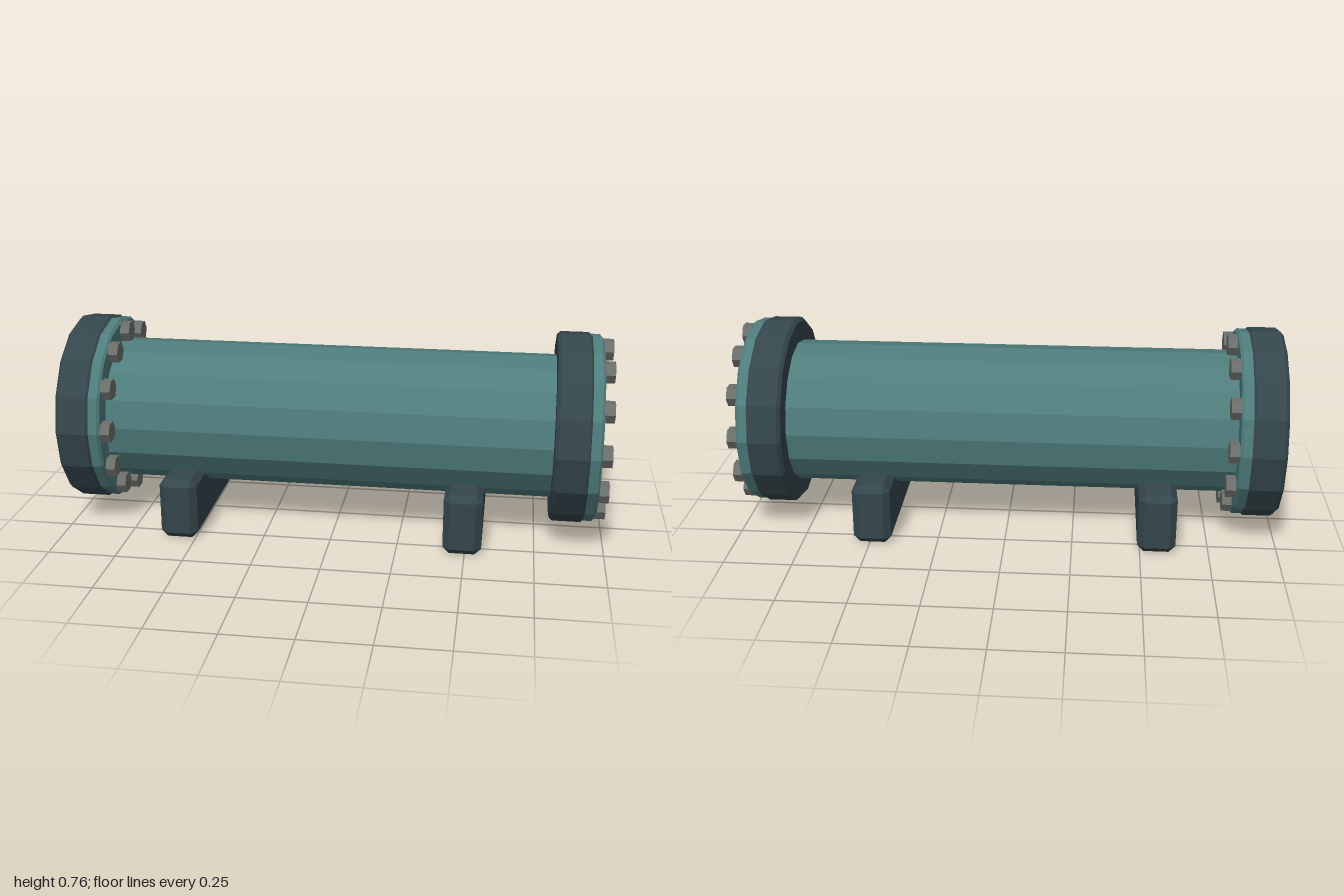
import * as THREE from 'three';
import { ConvexGeometry } from 'three/addons/geometries/ConvexGeometry.js';

const AXIS_Y = 0.405; // height of the barrel's centre line
const SIDES = 16;

const material = (color) => new THREE.MeshStandardMaterial({ color, flatShading: true });

function addMesh(parent, name, geometry, mat) {
  const mesh = new THREE.Mesh(geometry, mat);
  mesh.name = name;
  parent.add(mesh);
  return mesh;
}

// Solid disc along x, starting at x0, with chamfered rims
function chamferedDisc(x0, thickness, radius, chamfer) {
  const profile = [
    [0, 0], [radius - chamfer, 0], [radius, chamfer],
    [radius, thickness - chamfer], [radius - chamfer, thickness], [0, thickness],
  ].map(([r, h]) => new THREE.Vector2(r, h));
  return new THREE.LatheGeometry(profile, SIDES).rotateZ(-Math.PI / 2).translate(x0, 0, 0);
}

// Box with every edge chamfered, standing on y = 0
function chamferedBox(w, h, d, c) {
  const points = [];
  for (const sx of [-1, 1]) for (const sy of [-1, 1]) for (const sz of [-1, 1]) {
    for (const [a, b, e] of [[0, c, c], [c, 0, c], [c, c, 0]]) {
      points.push(new THREE.Vector3(sx * (w / 2 - a), sy * (h / 2 - b), sz * (d / 2 - e)));
    }
  }
  return new ConvexGeometry(points).translate(0, h / 2, 0);
}

export function createModel() {
  const teal = material(0x4f7c7c);
  const dark = material(0x34464c);
  const steel = material(0x6c706d);

  const model = new THREE.Group();
  model.name = 'pressureVessel';

  // Barrel
  const barrel = addMesh(model, 'barrel',
    new THREE.CylinderGeometry(0.266, 0.266, 1.76, SIDES).rotateZ(-Math.PI / 2), teal);
  barrel.position.y = AXIS_Y;

  // Flanges: dark ring, cover plate and a circle of hex bolts, both facing +x
  const boltGeometry = new THREE.CylinderGeometry(0.04, 0.04, 0.045, 6).rotateZ(-Math.PI / 2);
  for (const [name, x] of [['rightFlange', -1], ['leftFlange', 0.8]]) {
    const flange = new THREE.Group();
    flange.name = name;
    flange.position.set(x, AXIS_Y, 0);
    addMesh(flange, 'flangeRing', chamferedDisc(0, 0.128, 0.353, 0.012), dark);
    addMesh(flange, 'coverPlate', chamferedDisc(0.115, 0.05, 0.347, 0.009), teal);
    for (let i = 0; i < 12; i++) {
      const a = (i / 12) * Math.PI * 2;
      const bolt = addMesh(flange, 'bolt', boltGeometry, steel);
      bolt.position.set(0.1775, 0.3 * Math.cos(a), 0.3 * Math.sin(a));
    }
    model.add(flange);
  }

  // Support blocks under the barrel
  const supportGeometry = chamferedBox(0.14, 0.23, 0.65, 0.024);
  for (const [name, x] of [['rightSupport', -0.56], ['leftSupport', 0.49]]) {
    addMesh(model, name, supportGeometry, dark).position.x = x;
  }

  return model;
}
